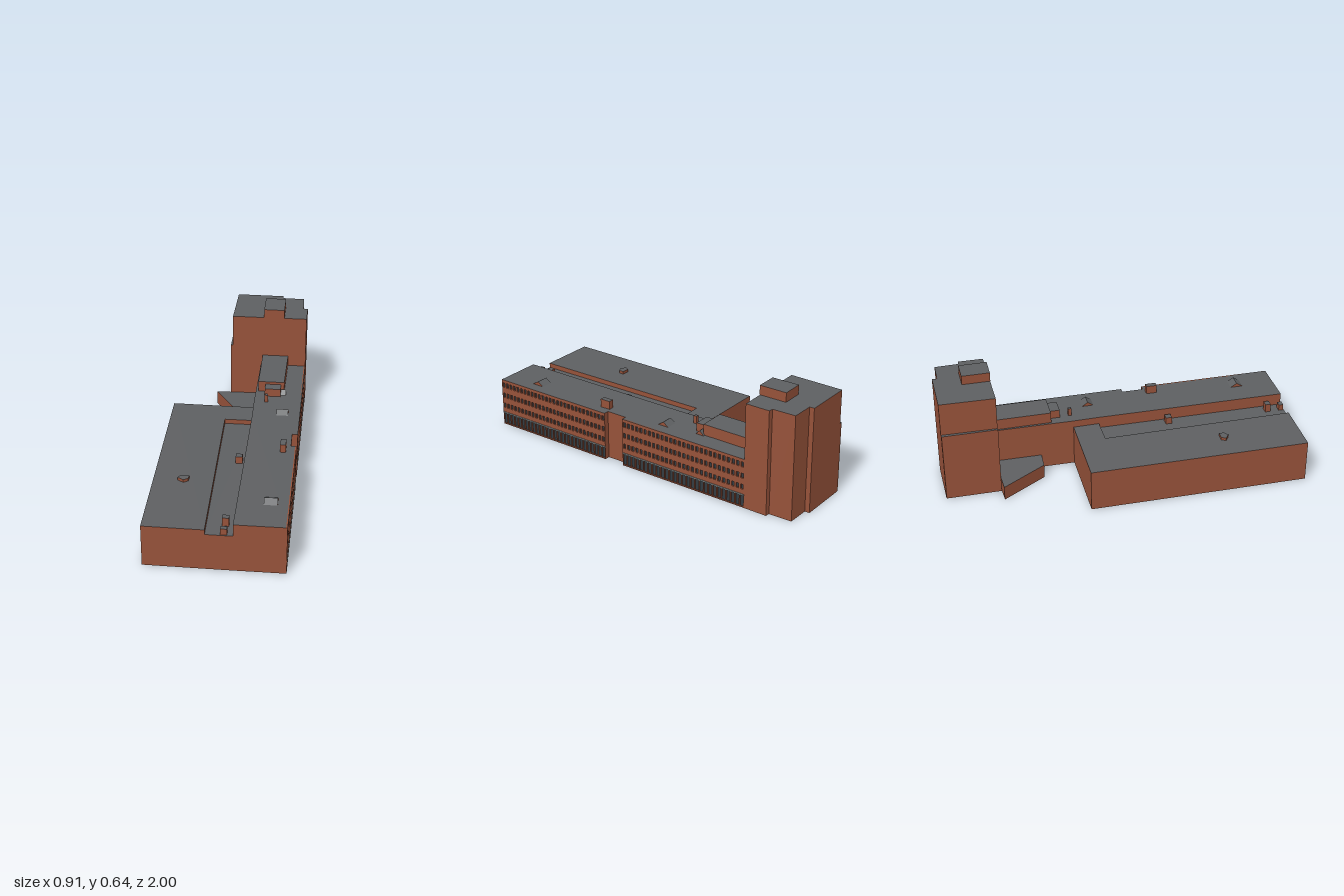
import * as THREE from 'three';

const mat = (color) => new THREE.MeshStandardMaterial({ color, side: THREE.DoubleSide });
const brick = mat(0x96523a), slate = mat(0x5e6062), glass = mat(0x333c42), trim = mat(0x7d8484);

const TILT = 0.1; // plan is turned slightly off the axes
const WEST = 0.237, EAST = 0.278, TRENCH = 0.21, TOWER = 0.588;

export function createModel() {
  const model = new THREE.Group();

  const add = (name, geometry, material, parent = model) => {
    const mesh = new THREE.Mesh(geometry, material);
    mesh.name = name;
    parent.add(mesh);
    return mesh;
  };

  // upright walls along a plan line of [x, z] points
  const walls = (name, pts, y0, y1, parent) => {
    const pos = [];
    for (let i = 0; i + 1 < pts.length; i++) {
      const [ax, az] = pts[i], [bx, bz] = pts[i + 1];
      pos.push(ax, y0, az, bx, y0, bz, bx, y1, bz, ax, y0, az, bx, y1, bz, ax, y1, az);
    }
    const g = new THREE.BufferGeometry();
    g.setAttribute('position', new THREE.Float32BufferAttribute(pos, 3));
    g.computeVertexNormals();
    return add(name, g, brick, parent);
  };

  // flat roof over a plan outline
  const roof = (name, pts, y, parent) => {
    const shape = new THREE.Shape(pts.map(([x, z]) => new THREE.Vector2(x, -z)));
    const g = new THREE.ShapeGeometry(shape).rotateX(-Math.PI / 2).translate(0, y, 0);
    return add(name, g, slate, parent);
  };

  // walls run anticlockwise seen from above, so they face outward
  const block = (name, pts, y0, y1) => {
    const group = new THREE.Group();
    group.name = name;
    const area = THREE.ShapeUtils.area(pts.map(([x, z]) => ({ x, y: -z })));
    const ring = area < 0 ? [...pts].reverse() : pts;
    walls(name + 'Walls', [...ring, ring[0]], y0, y1, group);
    roof(name + 'Roof', ring, y1, group);
    model.add(group);
  };

  const box = (name, x, z, w, d, y0, y1) => {
    const c = Math.cos(TILT), s = Math.sin(TILT);
    const corners = [[-1, 1], [1, 1], [1, -1], [-1, -1]].map(([i, j]) => {
      const u = i * w / 2, v = j * d / 2;
      return [x + u * c - v * s, z + u * s + v * c];
    });
    block(name, corners, y0, y1);
  };

  // low west wing
  const wSW = [-0.457, 0.918], wNW = [-0.33, -0.29], wNE = [0.125, -0.24];
  const tSW = [-0.14, 0.953], tSE = [0, 0.968], tNE = [0.113, -0.095], tNW = [-0.04, -0.11];
  walls('westWingWalls', [wNE, wNW, wSW, tSW], 0, WEST);
  roof('westWingRoof', [wSW, tSW, tNW, tNE, wNE, wNW], WEST);

  // sunken strip of roof between the wings
  walls('trenchFront', [tSW, tSE], 0, TRENCH);
  walls('trenchSides', [tSW, tNW, tNE], TRENCH, WEST);
  roof('trenchRoof', [tSW, tSE, tNE, tNW], TRENCH);

  // long east wing with a recess in its window front
  const eSE = [0.267, 0.995], rS = [0.345, 0.243], rSi = [0.315, 0.24];
  const rNi = [0.327, 0.12], rN = [0.357, 0.123], eNE = [0.437, -0.66], eNW = [0.175, -0.685];
  walls('eastWingFront', [tSE, eSE], 0, EAST);
  walls('eastWingRecess', [rS, rSi, rNi, rN], 0, EAST);
  walls('eastWingTrenchSide', [tNE, tSE], TRENCH, EAST);
  walls('eastWingUpperStep', [wNE, tNE], WEST, EAST);
  walls('eastWingBack', [eNW, wNE], 0, EAST);
  roof('eastWingRoof', [tSE, eSE, rS, rSi, rNi, rN, eNE, eNW, wNE, tNE], EAST);

  // pierced brick front with recessed glazing, running from a to b
  const facade = (name, a, b) => {
    const group = new THREE.Group();
    group.name = name;
    group.position.set(a[0], 0, a[1]);
    group.rotation.y = Math.atan2(a[1] - b[1], b[0] - a[0]);
    model.add(group);
    const w = Math.hypot(b[0] - a[0], b[1] - a[1]), depth = 0.008;
    const shape = new THREE.Shape([[0, 0], [w, 0], [w, EAST], [0, EAST]].map((p) => new THREE.Vector2(...p)));
    const hole = (x0, x1, y0, y1) => shape.holes.push(new THREE.Path(
      [[x0, y0], [x0, y1], [x1, y1], [x1, y0]].map((p) => new THREE.Vector2(...p))));
    const bays = 28, step = w / bays;
    for (let i = 0; i < bays; i++) {
      const x = i * step;
      hole(x + step * 0.1, x + step * 0.9, 0.005, 0.068);
      for (const y of [0.105, 0.168, 0.232]) hole(x + step * 0.22, x + step * 0.78, y, y + 0.028);
    }
    const g = new THREE.ExtrudeGeometry(shape, { depth, bevelEnabled: false }).translate(0, 0, -depth);
    add('piercedWall', g, brick, group);
    add('glazing', new THREE.PlaneGeometry(w, EAST - 0.002).translate(w / 2, EAST / 2, -depth + 0.0005), glass, group);
    add('ledge', new THREE.BoxGeometry(w, 0.008, 0.004).translate(w / 2, 0.074, 0.001), trim, group);
  };
  facade('southWindowFront', eSE, rS);
  facade('northWindowFront', rN, eNE);

  // tower, with a shallow lower step on its west side
  block('tower', [[0.008, -0.7], [0.437, -0.658], [0.452, -0.795], [0.427, -0.8],
    [0.437, -0.93], [0.312, -0.945], [0.315, -0.972], [0.045, -1]], 0, TOWER);
  block('towerStep', [[-0.004, -0.7], [0.008, -0.7], [0.045, -1], [0.028, -1]], 0, 0.4);
  block('towerPenthouse', [[0.19, -0.681], [0.308, -0.668], [0.323, -0.822], [0.205, -0.834]], TOWER, 0.64);

  // low wedge-shaped annex in the corner
  block('annex', [[-0.087, -0.705], [0.045, -0.44], [0.147, -0.425], [0.175, -0.685]], 0, 0.08);

  // plant rooms on the east wing
  block('plantRoom', [[0.152, -0.36], [0.3, -0.345], [0.335, -0.67], [0.185, -0.685]], EAST, 0.34);
  box('plantRoomPorch', 0.235, -0.325, 0.09, 0.06, EAST, 0.325);

  // chimneys and hatches
  box('eastChimney', 0.272, 0.275, 0.03, 0.06, EAST, 0.325);
  box('smallChimney', 0.195, -0.24, 0.018, 0.018, EAST, 0.322);
  box('trenchChimneyFront', -0.045, 0.945, 0.034, 0.025, TRENCH, 0.245);
  box('trenchChimneyBack', -0.035, 0.868, 0.036, 0.03, TRENCH, 0.258);
  box('trenchVent', 0.037, 0.29, 0.036, 0.034, TRENCH, 0.25);
  block('westHatch', [[-0.286, 0.505], [-0.268, 0.483], [-0.224, 0.488], [-0.23, 0.516], [-0.256, 0.53]], WEST, 0.253);

  // ridged skylights
  const skylight = (x, z, w, d, h) => {
    const tri = new THREE.Shape([[-d / 2, 0], [d / 2, 0], [0, h]].map((p) => new THREE.Vector2(...p)));
    const g = new THREE.ExtrudeGeometry(tri, { depth: w, bevelEnabled: false })
      .translate(0, 0, -w / 2).rotateY(Math.PI / 2);
    const mesh = add('skylight', g, [brick, slate]);
    mesh.position.set(x, EAST, z);
    mesh.rotation.y = -TILT;
  };
  skylight(0.193, 0.765, 0.07, 0.07, 0.022);
  skylight(0.282, -0.112, 0.065, 0.065, 0.022);
  skylight(0.285, -0.33, 0.05, 0.05, 0.025);

  return model;
}
